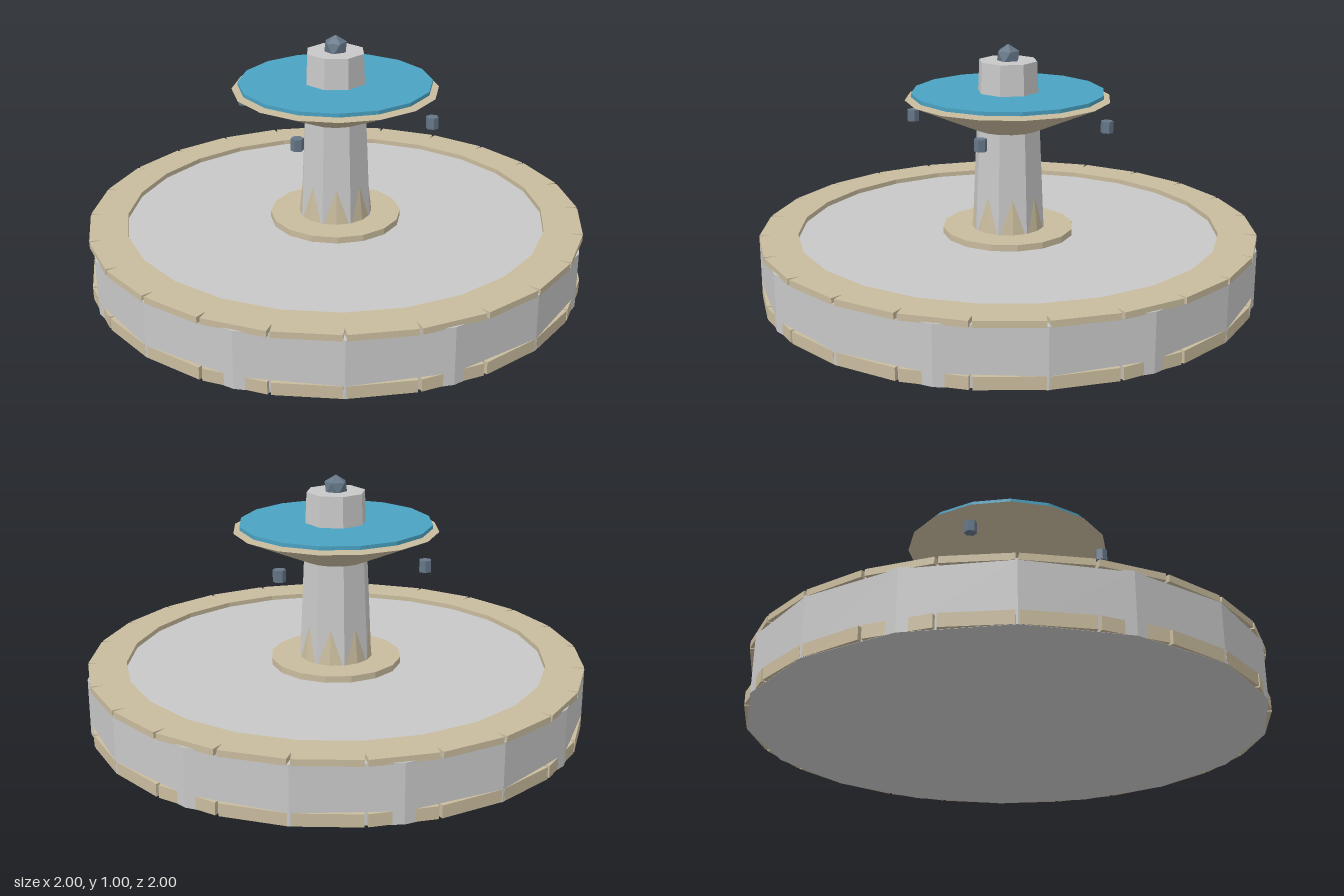
import * as THREE from 'three';

export function createModel() {
  const model = new THREE.Group();
  model.name = 'fountain';

  const makeMaterial = (name, color) => {
    const m = new THREE.MeshStandardMaterial({ color, flatShading: true });
    m.name = name;
    return m;
  };
  const stone = makeMaterial('grey stone', 0xc8c8c8);
  const sand = makeMaterial('sandstone', 0xc9bc9e);
  const water = makeMaterial('water blue', 0x4aa2c2);
  const metal = makeMaterial('slate metal', 0x667788);

  const add = (name, geometry, material, parent = model) => {
    const mesh = new THREE.Mesh(geometry, material);
    mesh.name = name;
    parent.add(mesh);
    return mesh;
  };

  // Faceted drum or cone between two heights
  const drum = (name, rBottom, rTop, y0, y1, sides, material) => {
    const g = new THREE.CylinderGeometry(rTop, rBottom, y1 - y0, sides);
    g.translate(0, (y0 + y1) / 2, 0);
    return add(name, g, material);
  };

  // Ring of straight blocks, overlapping inside and slightly open outside
  const blockRing = (name, inner, outer, y0, y1) => {
    const ring = new THREE.Group();
    ring.name = name;
    const count = 24;
    const g = new THREE.BoxGeometry(0.248, y1 - y0, outer - inner);
    g.translate(0, (y0 + y1) / 2, (inner + outer) / 2);
    for (let i = 0; i < count; i++) {
      add(name + 'Block', g, sand, ring).rotation.y = (i / count) * Math.PI * 2;
    }
    model.add(ring);
  };

  // Lower basin
  drum('basin', 1, 1, 0, 0.23, 16, stone);
  blockRing('basinFoot', 0.84, 0.992, 0.001, 0.05);
  blockRing('basinRim', 0.84, 0.992, 0.225, 0.25);

  // Central column with its collar and flared foot
  drum('columnCollar', 0.265, 0.265, 0.225, 0.256, 16, sand);
  drum('columnFoot', 0.148, 0.128, 0.25, 0.43, 16, sand);
  drum('column', 0.15, 0.118, 0.23, 0.935, 8, stone);

  // Upper bowl and its water
  drum('upperBowl', 0.13, 0.41, 0.662, 0.785, 16, sand);
  drum('upperWater', 0.385, 0.385, 0.797, 0.812, 16, water);

  // Four spouts under the bowl edge
  for (let i = 0; i < 4; i++) {
    const a = Math.PI / 4 + (i * Math.PI) / 2;
    const spout = add('spout', new THREE.CylinderGeometry(0.025, 0.025, 0.046, 6), metal);
    spout.position.set(0.4 * Math.sin(a), 0.69, 0.4 * Math.cos(a));
    spout.rotation.y = a;
  }

  // Finial, standing on one point
  const finial = new THREE.IcosahedronGeometry(0.05, 0);
  finial.rotateX(-Math.atan((1 + Math.sqrt(5)) / 2));
  add('finial', finial, metal).position.y = 0.95;

  return model;
}
